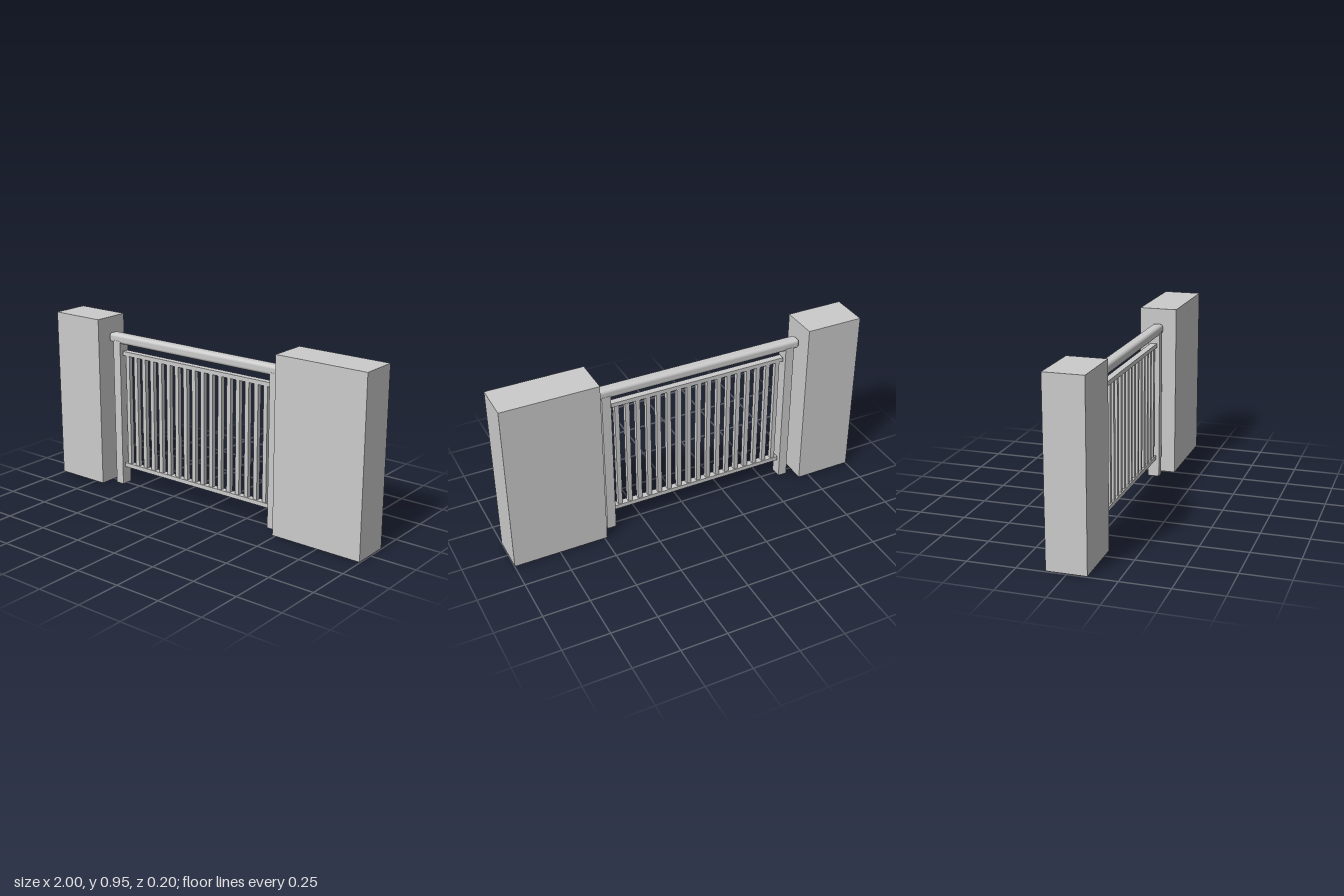
import * as THREE from 'three';
import { RoundedBoxGeometry } from 'three/addons/geometries/RoundedBoxGeometry.js';

export function createModel() {
  const group = new THREE.Group();
  const material = new THREE.MeshStandardMaterial({ color: 0xcccccc });

  const add = (name, geometry, x, y) => {
    const mesh = new THREE.Mesh(geometry, material);
    mesh.name = name;
    mesh.position.set(x, y, 0);
    group.add(mesh);
  };
  // Box given by its x range, y range and depth
  const box = (name, x0, x1, y0, y1, depth) =>
    add(name, new THREE.BoxGeometry(x1 - x0, y1 - y0, depth), (x0 + x1) / 2, (y0 + y1) / 2);

  // Wall blocks on either side
  box('rightWall', -1, -0.688, 0.004, 0.95, 0.204);
  box('leftWall', 0.487, 1, 0.004, 0.95, 0.204);

  // Posts
  box('rightPost', -0.645, -0.596, 0, 0.83, 0.065);
  box('leftPost', 0.405, 0.454, 0, 0.83, 0.065);

  // Handrail with softened edges
  add('handrail', new RoundedBoxGeometry(1.168, 0.054, 0.062, 4, 0.018), -0.096, 0.84);

  // Thin rails holding the balusters
  box('bottomRail', -0.59, 0.398, 0.102, 0.125, 0.036);
  box('topRail', -0.59, 0.398, 0.75, 0.773, 0.036);

  // Balusters
  const count = 17, first = -0.56, last = 0.367;
  for (let i = 0; i < count; i++) {
    const x = first + ((last - first) * i) / (count - 1);
    box('baluster', x - 0.012, x + 0.012, 0.125, 0.75, 0.025);
  }
  return group;
}
